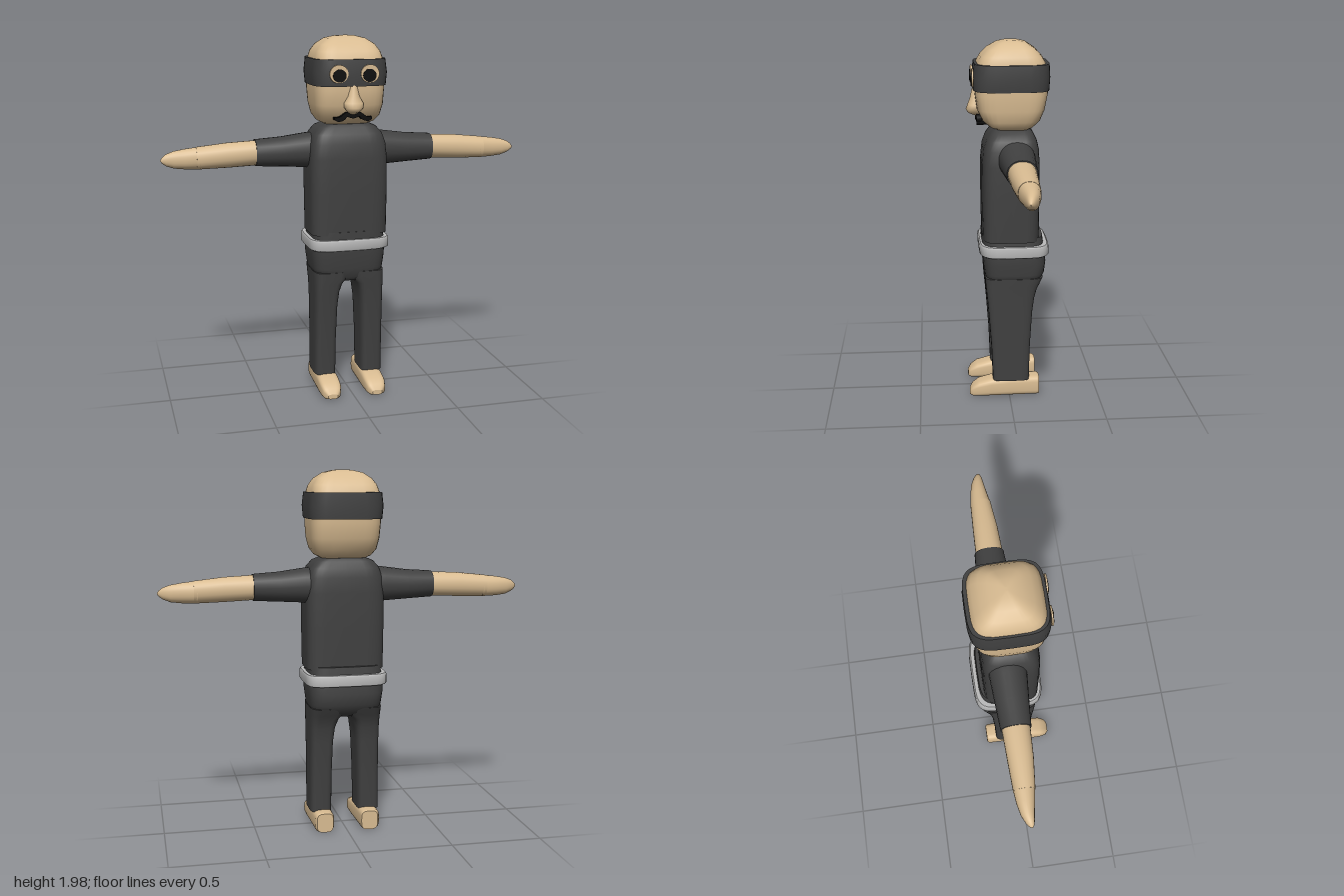
import * as THREE from 'three';

const mat = (name, color) => {
  const m = new THREE.MeshStandardMaterial({ color });
  m.name = name;
  return m;
};

// Skin a row of rounded-square rings along an axis (0 x, 1 y, 2 z).
// Each ring is [position, u0, u1, v0, v1]; u and v are the next two axes in cyclic order.
function loft(axis, rings, power = 4, seg = 32) {
  const pos = [], idx = [];
  const put = (t, u, v) => {
    const p = [0, 0, 0];
    p[axis] = t; p[(axis + 1) % 3] = u; p[(axis + 2) % 3] = v;
    pos.push(...p);
  };
  const bend = (c) => Math.sign(c) * Math.pow(Math.abs(c), 2 / power);
  const ring = ([t, u0, u1, v0, v1]) => {
    for (let j = 0; j < seg; j++) {
      const a = (j / seg) * Math.PI * 2;
      put(t, (u0 + u1) / 2 + bend(Math.cos(a)) * (u1 - u0) / 2,
        (v0 + v1) / 2 + bend(Math.sin(a)) * (v1 - v0) / 2);
    }
  };
  rings.forEach(ring);
  for (let i = 0; i < rings.length - 1; i++) {
    for (let j = 0; j < seg; j++) {
      const k = (j + 1) % seg, a = i * seg, b = a + seg;
      idx.push(a + j, a + k, b + k, a + j, b + k, b + j);
    }
  }
  // End caps have their own vertices, so their rims stay sharp
  [rings[0], rings[rings.length - 1]].forEach((r, end) => {
    const s = pos.length / 3;
    ring(r);
    put(r[0], (r[1] + r[2]) / 2, (r[3] + r[4]) / 2);
    for (let j = 0; j < seg; j++) {
      const k = (j + 1) % seg;
      if (end) idx.push(s + seg, s + j, s + k);
      else idx.push(s + seg, s + k, s + j);
    }
  });
  const g = new THREE.BufferGeometry();
  g.setAttribute('position', new THREE.Float32BufferAttribute(pos, 3));
  g.setIndex(idx);
  g.computeVertexNormals();
  return g;
}

// Mirror an indexed geometry across x = 0
function mirrored(geo) {
  const g = geo.clone();
  g.scale(-1, 1, 1);
  const a = g.index.array;
  for (let i = 0; i < a.length; i += 3) [a[i], a[i + 1]] = [a[i + 1], a[i]];
  g.computeVertexNormals();
  return g;
}

export function createModel() {
  const model = new THREE.Group();
  const skin = mat('skin', 0xd9bc92);
  const cloth = mat('darkCloth', 0x404040);
  const beltGrey = mat('beltGrey', 0xbababa);
  const black = mat('black', 0x080808);

  const add = (name, geo, material) => {
    const m = new THREE.Mesh(geo, material);
    m.name = name;
    model.add(m);
    return m;
  };
  const pair = (name, geo, material) => {
    add('left' + name, geo, material);
    add('right' + name, mirrored(geo), material);
  };

  // Head and the mask band around it
  add('head', loft(1, [
    [1.505, -0.1, 0.05, -0.11, 0.11], [1.525, -0.135, 0.1, -0.15, 0.15],
    [1.56, -0.17, 0.14, -0.175, 0.175], [1.62, -0.195, 0.168, -0.188, 0.188],
    [1.7, -0.21, 0.178, -0.193, 0.193], [1.8, -0.212, 0.178, -0.193, 0.193],
    [1.86, -0.2, 0.168, -0.187, 0.187], [1.9, -0.178, 0.145, -0.175, 0.175],
    [1.935, -0.145, 0.11, -0.15, 0.15], [1.965, -0.1, 0.06, -0.105, 0.105],
    [1.978, -0.05, 0.015, -0.05, 0.05], [1.98, -0.02, -0.01, -0.01, 0.01],
  ], 4.2), skin);
  add('mask', loft(1, [
    [1.722, -0.218, 0.188, -0.2, 0.2], [1.79, -0.222, 0.192, -0.206, 0.206],
    [1.862, -0.218, 0.182, -0.198, 0.198],
  ], 4.2), cloth);

  // Nose
  add('nose', loft(1, [
    [1.575, 0.13, 0.175, -0.018, 0.018], [1.59, 0.13, 0.212, -0.034, 0.034],
    [1.61, 0.13, 0.224, -0.052, 0.052], [1.635, 0.13, 0.215, -0.052, 0.052],
    [1.67, 0.13, 0.202, -0.032, 0.032], [1.74, 0.13, 0.186, -0.018, 0.018],
  ], 2, 20), skin);

  // Eyes: a skin opening with a dark pupil on each side
  const disc = (x, y, z, rx, ry) => {
    const g = new THREE.CylinderGeometry(1, 1, 0.009, 20);
    g.rotateX(Math.PI / 2);
    g.scale(rx, ry, 1);
    g.translate(x, y, z);
    return g;
  };
  pair('EyeOpening', disc(0.084, 1.788, 0.191, 0.05, 0.048), skin);
  pair('Pupil', disc(0.081, 1.779, 0.195, 0.036, 0.034), black);

  // Moustache
  const s = new THREE.Shape();
  s.moveTo(0, 1.572);
  s.quadraticCurveTo(0.03, 1.6, 0.055, 1.575);
  s.quadraticCurveTo(0.075, 1.555, 0.102, 1.56);
  s.quadraticCurveTo(0.105, 1.54, 0.08, 1.537);
  s.quadraticCurveTo(0.05, 1.537, 0.035, 1.562);
  s.lineTo(0, 1.552);
  s.lineTo(-0.035, 1.562);
  s.quadraticCurveTo(-0.05, 1.537, -0.08, 1.537);
  s.quadraticCurveTo(-0.105, 1.54, -0.102, 1.56);
  s.quadraticCurveTo(-0.075, 1.555, -0.055, 1.575);
  s.quadraticCurveTo(-0.03, 1.6, 0, 1.572);
  const hair = new THREE.ExtrudeGeometry(s, { depth: 0.06, bevelEnabled: false, curveSegments: 6 });
  hair.translate(0, 0, 0.11);
  add('moustache', hair, black);

  // Shirt body
  add('torso', loft(1, [
    [0.912, -0.165, 0.142, -0.213, 0.213], [1.15, -0.167, 0.145, -0.216, 0.216],
    [1.33, -0.167, 0.144, -0.215, 0.215], [1.41, -0.162, 0.136, -0.207, 0.207],
    [1.46, -0.15, 0.118, -0.19, 0.19], [1.495, -0.132, 0.095, -0.16, 0.16],
    [1.512, -0.115, 0.075, -0.12, 0.12],
  ], 5), cloth);

  // Arms
  pair('Sleeve', loft(0, [
    [0.15, 1.265, 1.463, -0.137, 0.065], [0.22, 1.27, 1.458, -0.135, 0.06],
    [0.35, 1.278, 1.44, -0.127, 0.05], [0.495, 1.286, 1.43, -0.118, 0.04],
  ], 2.2, 24), cloth);
  pair('Forearm', loft(0, [
    [0.485, 1.291, 1.425, -0.112, 0.035], [0.65, 1.284, 1.417, -0.107, 0.028],
    [0.81, 1.28, 1.4, -0.1, 0.012],
  ], 2.2, 24), skin);
  pair('Hand', loft(0, [
    [0.79, 1.28, 1.401, -0.101, 0.014], [0.87, 1.283, 1.392, -0.093, 0.0],
    [0.93, 1.29, 1.382, -0.08, -0.01], [0.97, 1.305, 1.368, -0.062, -0.016],
    [0.99, 1.32, 1.352, -0.048, -0.022], [1.0, 1.333, 1.338, -0.034, -0.03],
  ], 2.2, 24), skin);

  // Trousers: hips above, one leg on each side
  add('hips', loft(1, [
    [0.645, -0.13, 0.1, -0.09, 0.09], [0.67, -0.17, 0.125, -0.192, 0.192],
    [0.72, -0.198, 0.135, -0.198, 0.198], [0.78, -0.205, 0.142, -0.206, 0.206],
    [0.85, -0.195, 0.147, -0.208, 0.208], [0.93, -0.185, 0.145, -0.195, 0.195],
  ], 4.5), cloth);
  pair('Leg', loft(1, [
    [0.1, -0.11, 0.092, 0.073, 0.195], [0.3, -0.115, 0.1, 0.071, 0.194],
    [0.5, -0.127, 0.115, 0.064, 0.194], [0.58, -0.138, 0.122, 0.054, 0.195],
    [0.63, -0.152, 0.127, 0.036, 0.196], [0.66, -0.168, 0.13, 0.01, 0.197],
    [0.7, -0.186, 0.133, 0.0, 0.198],
  ], 4.5), cloth);

  // Belt
  add('belt', loft(1, [
    [0.828, -0.212, 0.152, -0.218, 0.218], [0.835, -0.22, 0.162, -0.226, 0.226],
    [0.88, -0.218, 0.164, -0.226, 0.226], [0.889, -0.21, 0.156, -0.22, 0.22],
  ], 5), beltGrey);

  // Bare feet with flat soles
  pair('Foot', loft(2, [
    [-0.168, 0.08, 0.172, 0.0, 0.106], [-0.155, 0.074, 0.182, 0.0, 0.113],
    [0.0, 0.07, 0.186, 0.0, 0.112], [0.1, 0.067, 0.188, 0.0, 0.104],
    [0.17, 0.07, 0.186, 0.0, 0.085], [0.205, 0.08, 0.176, 0.0, 0.06],
    [0.222, 0.1, 0.155, 0.005, 0.032],
  ], 3.6, 28), skin);

  return model;
}
